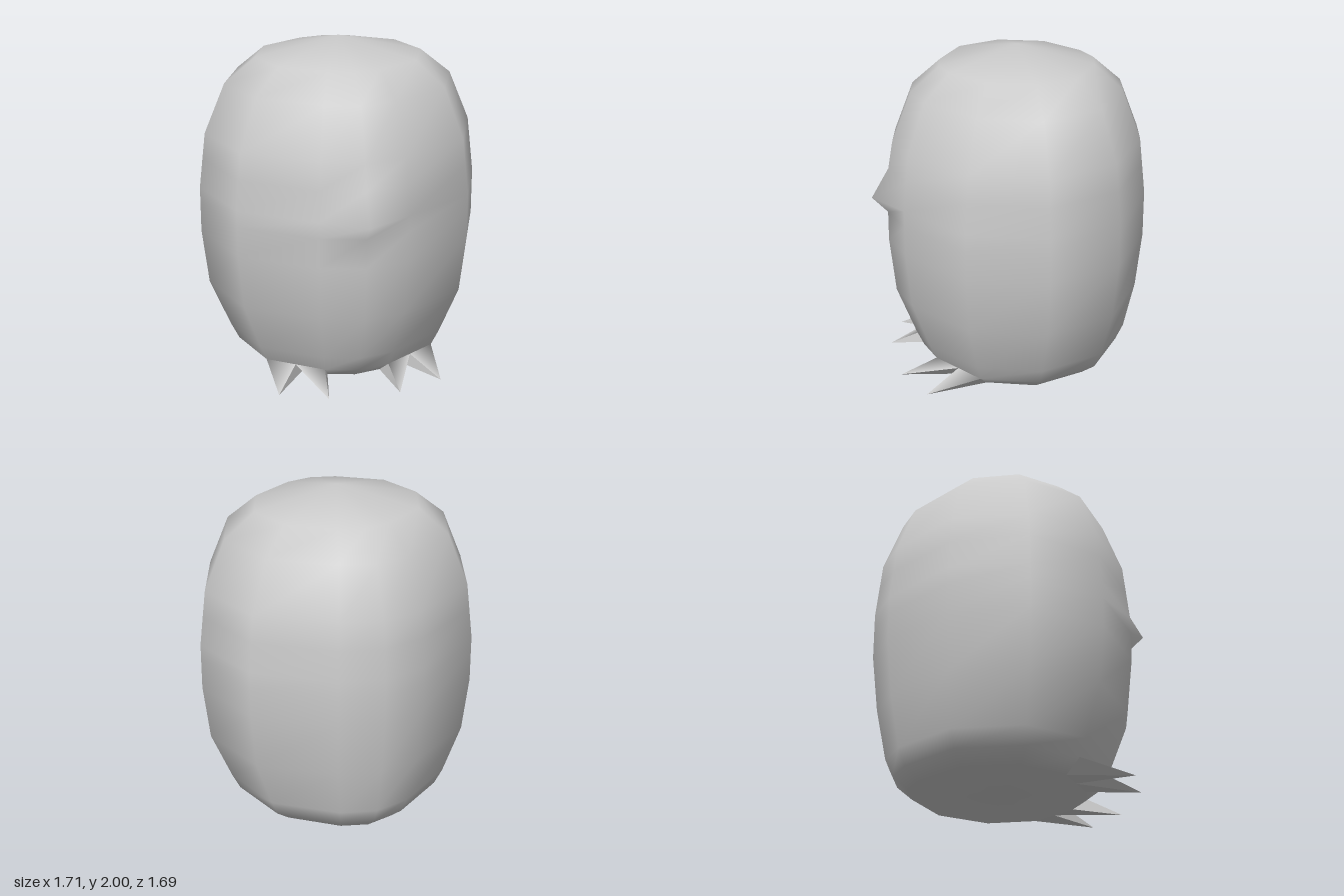
import * as THREE from 'three';

// Body rings from the ground up: [height, half width, extra depth at the back, front centre z (if pushed)]
const RINGS = [
  [0, 0.53, 0.07], [0.08, 0.64, 0.06], [0.18, 0.69, 0.06], [0.48, 0.815, 0], [0.82, 0.855, 0],
  [1.0, 0.855, 0, 0.745], [1.1, 0.855, 0, 0.84], [1.28, 0.834, 0, 0.735], // beak
  [1.44, 0.815, 0], [1.74, 0.69, 0], [1.89, 0.505, 0],
];
// Unit cross-section, starting at the front centre and turning towards +x
const QUARTER = [[0, 0.93], [0.306, 0.86], [0.81, 0.53], [1, 0]];
const SECTION = [
  ...QUARTER,
  ...QUARTER.slice(0, 3).reverse().map(([x, z]) => [x, -z]),
  ...QUARTER.slice(1).map(([x, z]) => [-x, -z]),
  ...QUARTER.slice(1, 3).reverse().map(([x, z]) => [-x, z]),
];
const N = SECTION.length;
const CENTRE_Z = -0.05;
const TOE_TIPS = [[0.215, 0, 0.725], [0.495, 0, 0.615]];

function ringPoint(ring, i) {
  const [y, r, back, front] = RINGS[ring];
  const [sx, sz] = SECTION[i];
  let z = sz * r + CENTRE_Z;
  if (sz < 0) z += sz * back;
  if (i === 0 && front !== undefined) z = front;
  return [sx * r, y, z];
}

const mid = (a, b) => a.map((v, k) => (v + b[k]) / 2);

function meshFrom(name, points, index, flat) {
  let geometry = new THREE.BufferGeometry();
  geometry.setAttribute('position', new THREE.Float32BufferAttribute(points.flat(), 3));
  geometry.setIndex(index);
  if (flat) geometry = geometry.toNonIndexed();
  geometry.computeVertexNormals();
  const mesh = new THREE.Mesh(geometry, new THREE.MeshStandardMaterial({ color: 0xcccccc, flatShading: flat }));
  mesh.name = name;
  return mesh;
}

// Smooth rounded body with its beak; the tops of the toes flow out of its second ring
function makeBody() {
  const points = [], index = [];
  RINGS.forEach((_, r) => SECTION.forEach((_, i) => points.push(ringPoint(r, i))));
  for (let r = 0; r < RINGS.length - 1; r++) {
    for (let i = 0; i < N; i++) {
      const a = r * N + i, b = r * N + (i + 1) % N;
      index.push(a, b, b + N, a, b + N, a + N);
    }
  }
  // Crown and underside
  const top = points.push([0, 2, CENTRE_Z]) - 1;
  const bottom = points.push([0, 0, CENTRE_Z]) - 1;
  const last = (RINGS.length - 1) * N;
  for (let i = 0; i < N; i++) {
    const j = (i + 1) % N;
    index.push(last + i, last + j, top, j, i, bottom);
  }
  // Toe tops
  for (const side of [1, -1]) {
    const inner = N + (side > 0 ? 1 : N - 1), outer = N + (side > 0 ? 2 : N - 2);
    const m = points.push(mid(points[inner], points[outer])) - 1;
    const [t1, t2] = TOE_TIPS.map(([x, y, z]) => points.push([side * x, y, z]) - 1);
    for (const [a, t, b] of [[inner, t1, m], [m, t2, outer]]) {
      index.push(...(side > 0 ? [a, t, b] : [b, t, a]));
    }
  }
  return meshFrom('body', points, index, false);
}

// Faceted sides and soles of the two pointed toes of one foot
function makeFoot(side, name) {
  const A = ringPoint(1, 1), B = ringPoint(1, 2), a = ringPoint(0, 1), b = ringPoint(0, 2);
  const M = mid(A, B), m = mid(a, b);
  const points = [], index = [];
  [[A, M, a, m, TOE_TIPS[0]], [M, B, m, b, TOE_TIPS[1]]].forEach((toe, k) => {
    const o = k * 5;
    toe.forEach(([x, y, z]) => points.push([side * x, y, z]));
    for (const [p, q, s] of [[0, 2, 4], [1, 4, 3], [2, 3, 4]]) {
      index.push(...(side > 0 ? [o + p, o + q, o + s] : [o + s, o + q, o + p]));
    }
  });
  return meshFrom(name, points, index, true);
}

export function createModel() {
  const model = new THREE.Group();
  model.name = 'roundBird';
  model.add(makeBody(), makeFoot(1, 'leftFoot'), makeFoot(-1, 'rightFoot'));
  return model;
}
